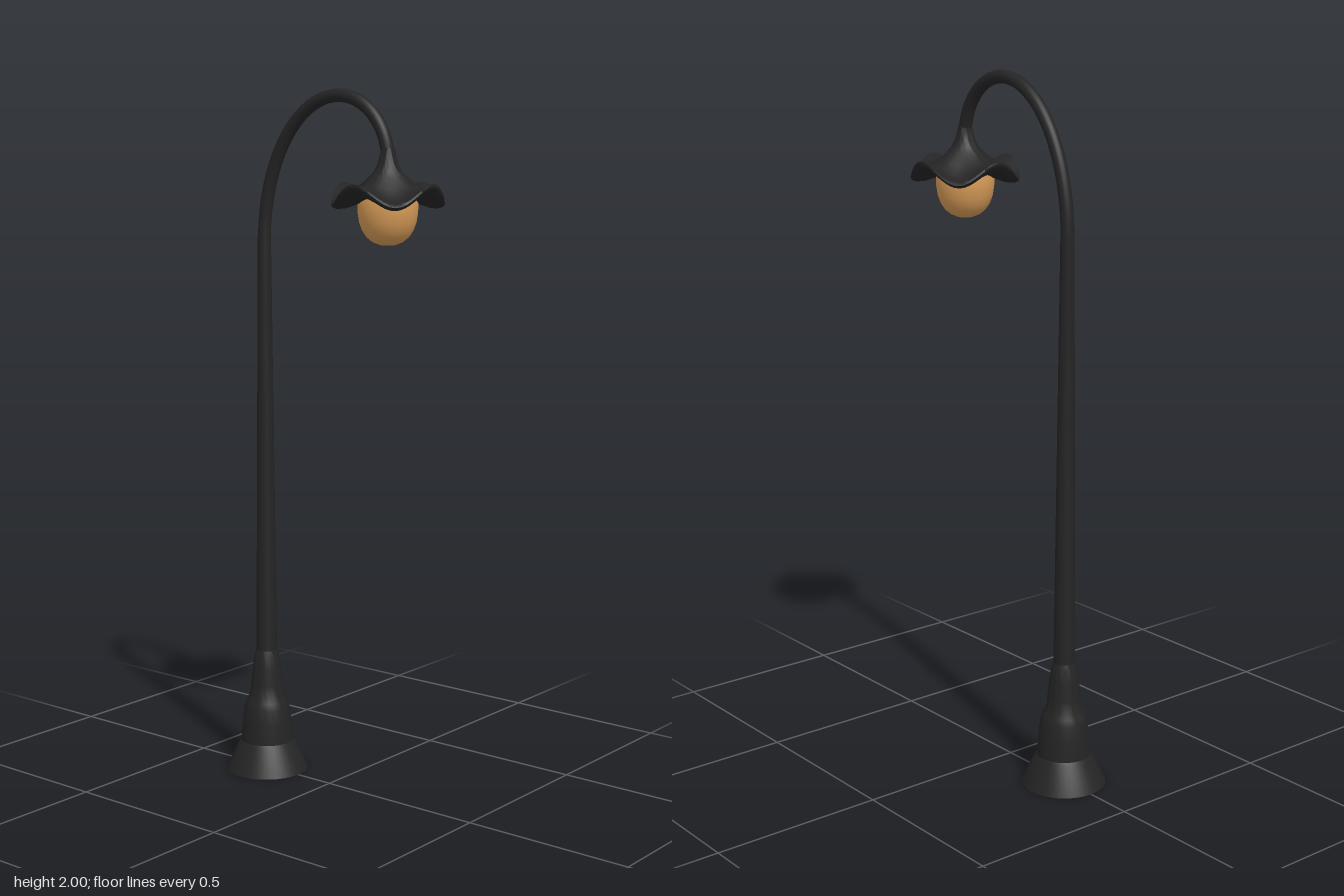
import * as THREE from 'three';
import { toCreasedNormals } from 'three/addons/utils/BufferGeometryUtils.js';

const POLE_X = -0.24, LAMP_X = 0.204, SHADE_R = 0.154;

const iron = new THREE.MeshStandardMaterial({ color: 0x242424 });
iron.name = 'black iron';
const amber = new THREE.MeshStandardMaterial({ color: 0xd69a57 });
amber.name = 'amber glass';

function lathe(points, segments) {
  return new THREE.LatheGeometry(points.map(([r, y]) => new THREE.Vector2(r, y)), segments);
}

function addPart(group, name, geometry, material, x = 0) {
  const mesh = new THREE.Mesh(geometry, material);
  mesh.name = name;
  mesh.position.x = x;
  group.add(mesh);
}

// Quarter-ellipse pair: a tall rise from the pole and a tighter drop to the lamp
function armCurve() {
  const topX = 0.032, topY = 1.981, startY = 1.57, endY = 1.8;
  const points = [];
  for (let i = 0; i <= 24; i++) {
    const a = Math.PI * (1 - i / 24);
    const rising = i <= 12;
    const rx = rising ? topX - POLE_X : LAMP_X - topX;
    const baseY = rising ? startY : endY;
    points.push(new THREE.Vector3(topX + rx * Math.cos(a), baseY + (topY - baseY) * Math.sin(a), 0));
  }
  return new THREE.CatmullRomCurve3(points);
}

// Bell-shaped shade whose rim waves up and down four times
function shadeGeometry() {
  const geometry = lathe([
    [0, 1.715], [0.05, 1.705], [0.085, 1.697], [0.115, 1.694], [0.138, 1.699], [0.15, 1.707],
    [SHADE_R, 1.713], [0.152, 1.719], [0.143, 1.719], [0.125, 1.716], [0.105, 1.722],
    [0.08, 1.738], [0.055, 1.762], [0.038, 1.779], [0.028, 1.798], [0.022, 1.822], [0.018, 1.84], [0, 1.842],
  ], 64);
  const p = geometry.attributes.position;
  for (let i = 0; i < p.count; i++) {
    const x = p.getX(i), z = p.getZ(i);
    const reach = Math.hypot(x, z) / SHADE_R;
    p.setY(i, p.getY(i) + 0.028 * reach ** 2 * Math.cos(4 * Math.atan2(z, x)));
  }
  return toCreasedNormals(geometry, 1.0);
}

export function createModel() {
  const lamp = new THREE.Group();
  lamp.name = 'streetLamp';

  // Stepped, flared foot
  const foot = lathe([
    [0, 0], [0.121, 0], [0.083, 0.08], [0.077, 0.088], [0.076, 0.105], [0.072, 0.15], [0.067, 0.19],
    [0.061, 0.21], [0.051, 0.228], [0.047, 0.26], [0.042, 0.31], [0.036, 0.348], [0.03, 0.366], [0, 0.37],
  ], 40);
  addPart(lamp, 'foot', toCreasedNormals(foot, 0.5), iron, POLE_X);

  // Tapered pole
  const pole = new THREE.CylinderGeometry(0.019, 0.031, 1.25, 32);
  pole.translate(0, 0.96, 0);
  addPart(lamp, 'pole', pole, iron, POLE_X);

  // Curved arm
  addPart(lamp, 'arm', new THREE.TubeGeometry(armCurve(), 64, 0.0185, 20), iron);

  // Shade and glass bulb
  addPart(lamp, 'shade', shadeGeometry(), iron, LAMP_X);
  const bulb = lathe([
    [0, 1.577], [0.022, 1.579], [0.042, 1.587], [0.058, 1.6], [0.07, 1.618],
    [0.078, 1.64], [0.082, 1.665], [0.083, 1.69], [0.08, 1.705], [0, 1.708],
  ], 40);
  addPart(lamp, 'bulb', toCreasedNormals(bulb, 0.9), amber, LAMP_X);

  return lamp;
}
